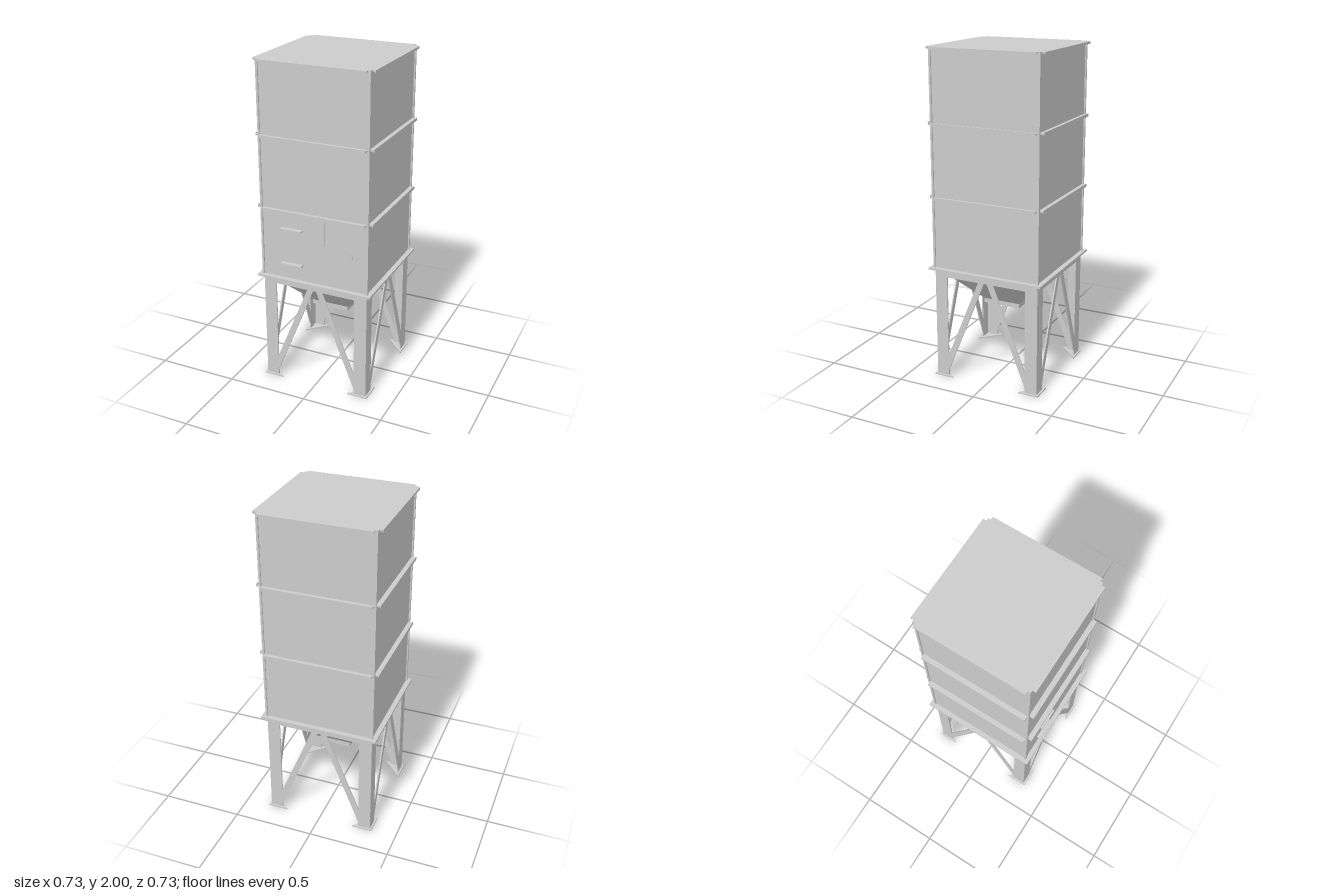
import * as THREE from 'three';

const material = new THREE.MeshStandardMaterial({ color: 0xcccccc, flatShading: true });
const openMaterial = new THREE.MeshStandardMaterial({ color: 0xcccccc, flatShading: true, side: THREE.DoubleSide });

function add(parent, name, geometry, mat = material) {
  const mesh = new THREE.Mesh(geometry, mat);
  mesh.name = name;
  parent.add(mesh);
  return mesh;
}

// Box given by its lower and upper limits
function box(parent, name, x0, x1, y0, y1, z0, z1) {
  const mesh = add(parent, name, new THREE.BoxGeometry(x1 - x0, y1 - y0, z1 - z0));
  mesh.position.set((x0 + x1) / 2, (y0 + y1) / 2, (z0 + z1) / 2);
  return mesh;
}

const points = (list) => list.map(([x, y]) => new THREE.Vector2(x, y));

// Flat shape of the given half size with a square opening, laid horizontally from y upwards
function squareRing(parent, name, outer, inner, y, height) {
  const square = (r) => points([[-r, -r], [r, -r], [r, r], [-r, r]]);
  const shape = new THREE.Shape(square(outer));
  shape.holes.push(new THREE.Path(square(inner).reverse()));
  const geometry = new THREE.ExtrudeGeometry(shape, { depth: height, bevelEnabled: false });
  geometry.rotateX(-Math.PI / 2);
  add(parent, name, geometry).position.y = y;
}

// One side of the stand: leg faces, top rail and the two diagonal braces in one plate
function standSideGeometry(thickness) {
  const shape = new THREE.Shape(points([
    [-0.333, 0], [-0.255, 0], [-0.255, 0.04], [-0.01, 0.647], [0.01, 0.647],
    [0.255, 0.04], [0.255, 0], [0.333, 0], [0.333, 0.69], [-0.333, 0.69],
  ]));
  for (const s of [-1, 1]) {
    shape.holes.push(new THREE.Path(points([[s * 0.255, 0.14], [s * 0.255, 0.647], [s * 0.048, 0.647]])));
  }
  return new THREE.ExtrudeGeometry(shape, { depth: thickness, bevelEnabled: false });
}

// Triangular base plate under a leg, with its right angle at the outer corner
function footGeometry() {
  const shape = new THREE.Shape(points([[0.345, -0.345], [0.345, -0.218], [0.218, -0.345]]));
  const geometry = new THREE.ExtrudeGeometry(shape, { depth: 0.008, bevelEnabled: false });
  return geometry.rotateX(-Math.PI / 2);
}

// Four-sided funnel
function funnelGeometry(top, bottom, height) {
  const geometry = new THREE.CylinderGeometry(top * Math.SQRT2, bottom * Math.SQRT2, height, 4, 1, true);
  return geometry.rotateY(Math.PI / 4);
}

export function createModel() {
  const model = new THREE.Group();
  model.name = 'silo';

  // Container with its flat roof
  box(model, 'container', -0.333, 0.333, 0.69, 1.99, -0.333, 0.333);
  box(model, 'roof', -0.343, 0.343, 1.99, 2, -0.343, 0.343);

  // Parts repeated on each of the four sides
  const sideGeometry = standSideGeometry(0.008);
  const foot = footGeometry();
  for (let i = 0; i < 4; i++) {
    const side = new THREE.Group();
    side.name = 'side' + (i + 1);
    side.rotation.y = (i * Math.PI) / 2;
    model.add(side);

    box(side, 'cornerPost', 0.328, 0.341, 0.69, 1.995, 0.328, 0.341);

    // Section joints: a thin flange ending in an upright lip
    for (const y of [1.13, 1.565]) {
      box(side, 'jointFlange', -0.327, 0.327, y - 0.004, y + 0.004, 0.33, 0.362);
      box(side, 'jointLip', -0.327, 0.327, y - 0.009, y + 0.009, 0.358, 0.363);
    }
    box(side, 'roofFlange', -0.327, 0.327, 1.992, 2, 0.34, 0.362);
    box(side, 'roofLip', -0.327, 0.327, 1.986, 2, 0.358, 0.363);

    // Stand
    add(side, 'standSide', sideGeometry).position.z = 0.325;
    add(side, 'foot', foot);
  }

  // Base flange between container and stand
  squareRing(model, 'baseFlange', 0.363, 0.32, 0.69, 0.012);

  // Discharge hopper and its outlet collar
  const hopper = add(model, 'hopper', funnelGeometry(0.325, 0.115, 0.23), openMaterial);
  hopper.position.y = 0.575;
  squareRing(model, 'outletCollar', 0.118, 0.1, 0.435, 0.03);

  // Front door with two handles, and a round port beside it
  box(model, 'door', -0.327, 0.07, 0.705, 1.12, 0.33, 0.335);
  for (const y of [0.802, 1.024]) {
    box(model, 'handle', -0.205, -0.07, y - 0.004, y + 0.004, 0.333, 0.365);
  }
  const port = add(model, 'port', new THREE.CylinderGeometry(0.045, 0.045, 0.006, 32).rotateX(Math.PI / 2));
  port.position.set(0.2, 0.915, 0.333);

  return model;
}
